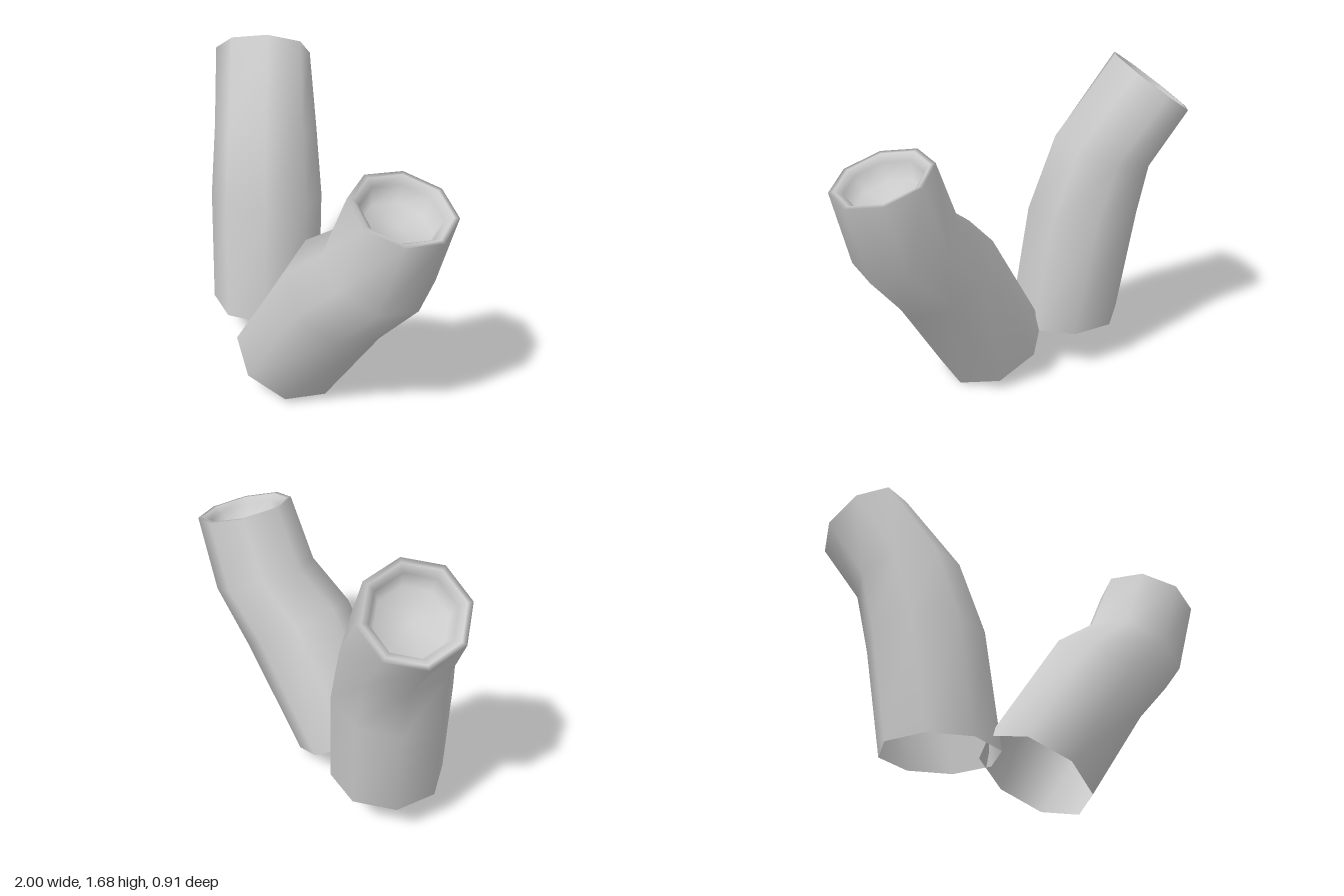
import * as THREE from 'three';

const SIDES = 8;
const material = new THREE.MeshStandardMaterial({ color: 0xcccccc, side: THREE.DoubleSide });

// Skin eight-sided rings, each given as { c: centre, n: facing direction, r: radius }
function skinRings(rings, phase) {
  const pos = [], index = [];
  const ref = new THREE.Vector3(Math.cos(phase), 0, Math.sin(phase));
  for (const { c, n, r } of rings) {
    const u = ref.clone().addScaledVector(n, -ref.dot(n)).normalize();
    const v = u.clone().cross(n);
    for (let j = 0; j < SIDES; j++) {
      const a = (j / SIDES) * Math.PI * 2;
      const p = c.clone().addScaledVector(u, r * Math.cos(a)).addScaledVector(v, r * Math.sin(a));
      pos.push(p.x, p.y, p.z);
    }
  }
  for (let i = 0; i < rings.length - 1; i++) {
    for (let j = 0; j < SIDES; j++) {
      const k = (j + 1) % SIDES;
      const a = i * SIDES + j, b = i * SIDES + k;
      index.push(a, a + SIDES, b, b, a + SIDES, b + SIDES);
    }
  }
  // Close the last ring with a centre point
  const last = (rings.length - 1) * SIDES, tip = rings.length * SIDES;
  pos.push(...rings[rings.length - 1].c.toArray());
  for (let j = 0; j < SIDES; j++) index.push(last + j, tip, last + ((j + 1) % SIDES));

  const geo = new THREE.BufferGeometry();
  geo.setAttribute('position', new THREE.Float32BufferAttribute(pos, 3));
  geo.setIndex(index);
  geo.computeVertexNormals();
  return geo;
}

// A bent tube, open below, with a rounded lip and a shallow cup on top
function makeTube(name, sections, phaseDeg) {
  const rings = sections.map(([c, n, r]) => ({
    c: new THREE.Vector3(...c), n: new THREE.Vector3(...n).normalize(), r,
  }));
  const top = rings[rings.length - 1];
  // Lip and cup: radius factor, height along the top's axis
  for (const [f, h] of [[0.9, 0.0], [0.76, -0.03], [0.66, -0.12]]) {
    rings.push({ c: top.c.clone().addScaledVector(top.n, h), n: top.n, r: top.r * f });
  }
  const mesh = new THREE.Mesh(skinRings(rings, THREE.MathUtils.degToRad(phaseDeg)), material);
  mesh.name = name;
  return mesh;
}

export function createModel() {
  const group = new THREE.Group();
  group.name = 'tubePair';

  // Sections from bottom to top: centre, facing direction, radius
  group.add(makeTube('rightTube', [
    [[-0.42, 0.23, 0.03], [0, 1, 0], 0.297],
    [[-0.49, 0.825, -0.03], [-0.08, 1, -0.08], 0.3],
    [[-0.575, 1.18, -0.09], [-0.22, 1, -0.2], 0.274],
    [[-0.78, 1.525, -0.22], [-0.475, 0.8, -0.365], 0.256],
  ], -10));

  group.add(makeTube('leftTube', [
    [[0.01, 0.145, 0.17], [0.49, 0.87, -0.02], 0.298],
    [[0.39, 0.708, 0.125], [0.6, 0.8, 0], 0.3],
    [[0.625, 0.925, 0.095], [0.45, 0.89, 0], 0.276],
    [[0.758, 1.285, 0.078], [0.32, 0.95, 0], 0.254],
  ], -7));

  return group;
}
